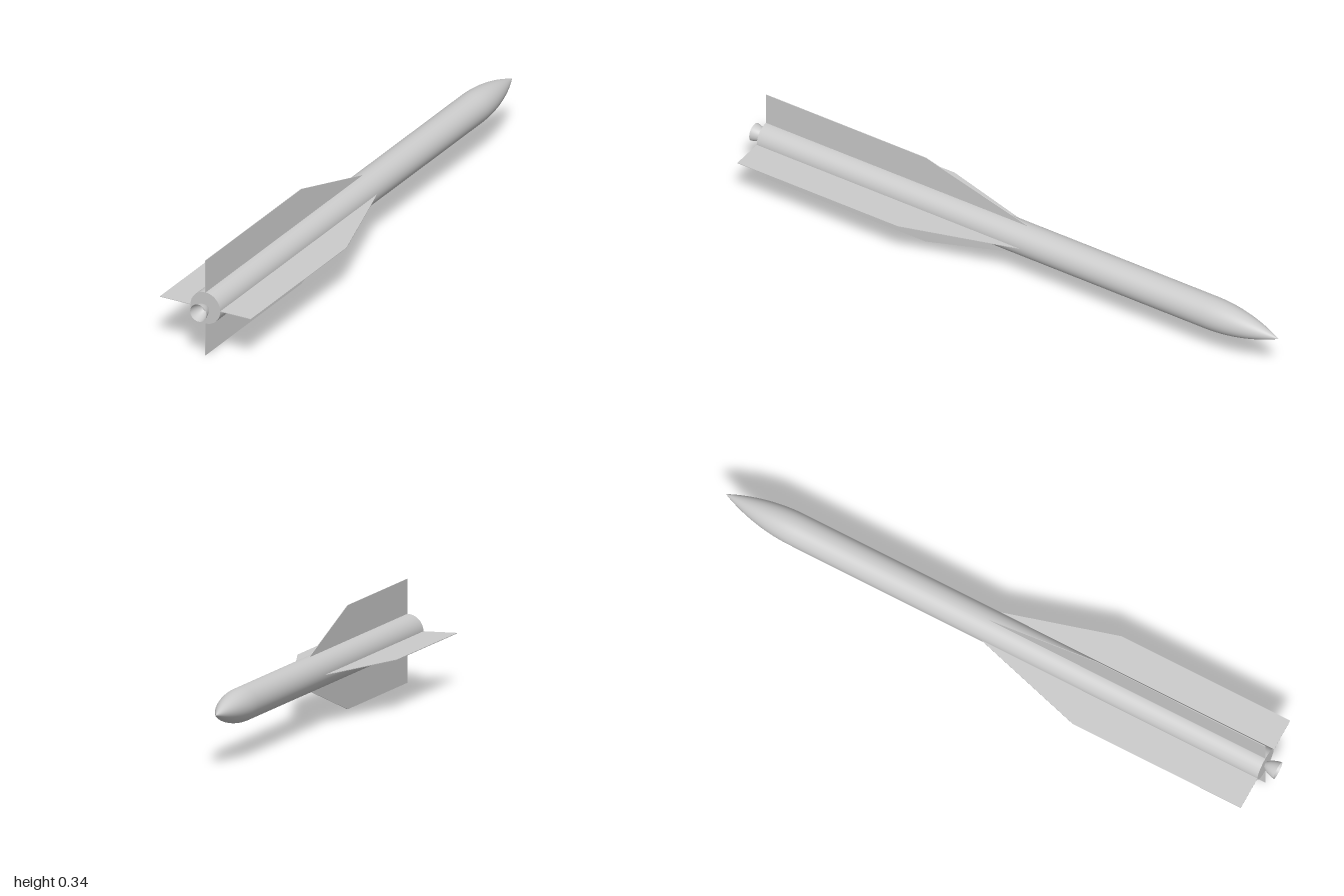
import * as THREE from 'three';

const R = 0.055;        // body radius
const AXIS = 0.168;     // height of the centre line, also the fin span
const REAR = 0.955;     // z of the rear face
const SHOULDER = 0.74;  // start of the nose, measured forward
const THICK = 0.002;    // fin thickness

export function createModel() {
  const model = new THREE.Group();
  const material = new THREE.MeshStandardMaterial({ color: 0xcccccc });
  const open = new THREE.MeshStandardMaterial({ color: 0xcccccc, side: THREE.DoubleSide });

  const add = (name, geometry, mat = material) => {
    const mesh = new THREE.Mesh(geometry, mat);
    mesh.name = name;
    mesh.position.y = AXIS;
    model.add(mesh);
    return mesh;
  };
  // Turn a profile of [radius, forward distance] around the long axis; forward is -z
  const turned = (profile, segments = 64) =>
    new THREE.LatheGeometry(profile.map(([r, f]) => new THREE.Vector2(r, f)), segments)
      .rotateX(-Math.PI / 2);

  // Body tube and its flat rear face
  add('body', turned([[R, -REAR], [R, SHOULDER]]));
  add('rearFace', new THREE.CircleGeometry(R, 64).translate(0, 0, REAR));

  // Tangent ogive nose
  const length = 1 - SHOULDER;
  const arc = (R * R + length * length) / (2 * R);
  const nose = [];
  for (let i = 0; i <= 24; i++) {
    const d = (length * i) / 24;
    nose.push([Math.max(0, Math.sqrt(arc * arc - d * d) - arc + R), SHOULDER + d]);
  }
  add('noseCone', turned(nose));

  // Open engine bell
  add('nozzle', turned([
    [0.03, -1], [0.0285, -0.992], [0.025, -0.98], [0.02, -0.968], [0.015, -0.96], [0.011, -REAR],
  ], 48), open);

  // Four thin fins with swept leading edges
  const outline = new THREE.Shape([
    [R - 0.005, -REAR], [AXIS, -REAR], [AXIS, -0.345], [R, 0.045], [R - 0.005, 0.045],
  ].map(([x, y]) => new THREE.Vector2(x, y)));
  const fin = new THREE.ExtrudeGeometry(outline, { depth: THICK, bevelEnabled: false })
    .translate(0, 0, -THICK / 2)
    .rotateX(-Math.PI / 2);
  ['leftFin', 'topFin', 'rightFin', 'bottomFin'].forEach((name, i) => {
    add(name, fin).rotation.z = (i * Math.PI) / 2;
  });

  return model;
}
